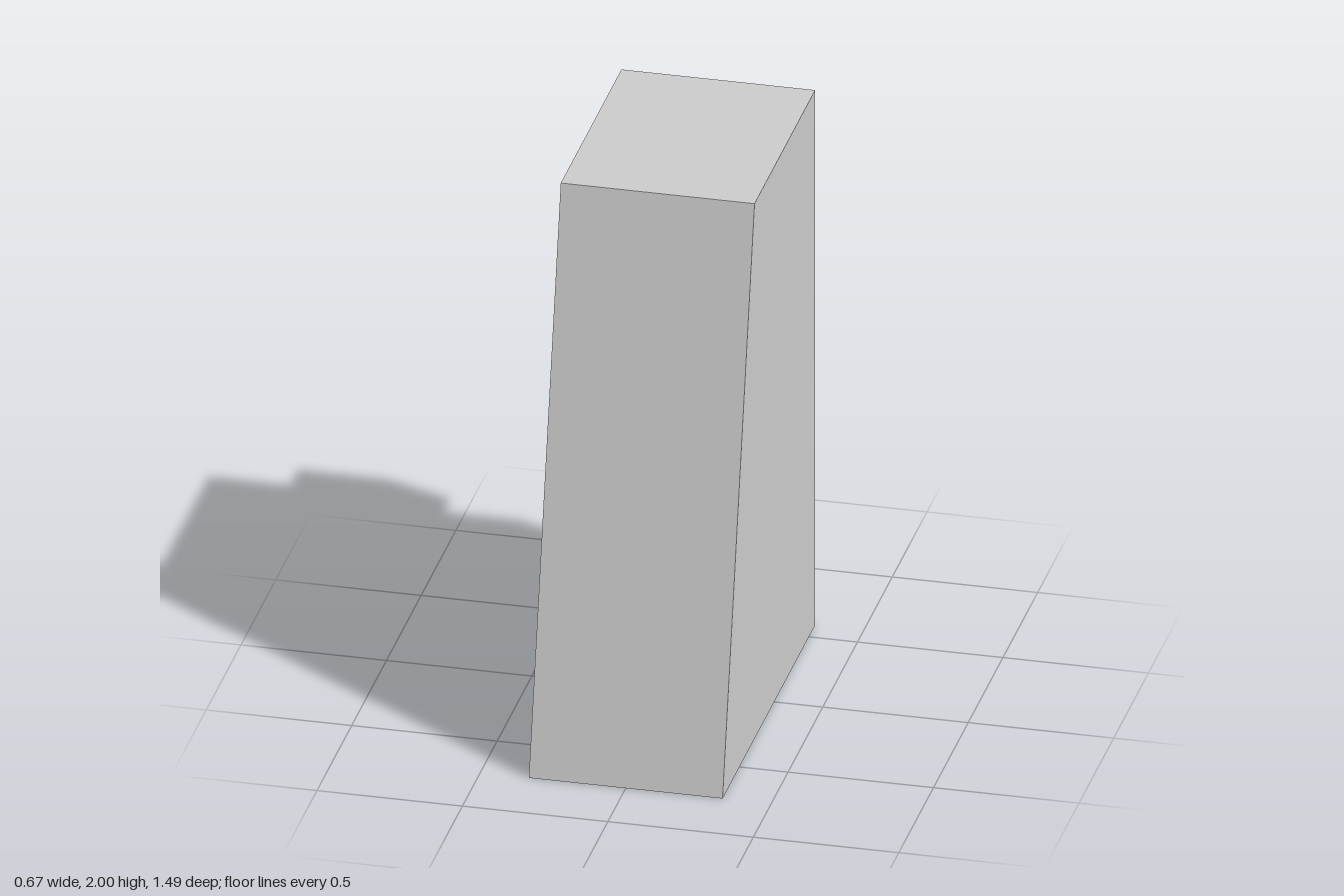
import * as THREE from 'three';

// Joins four-cornered rings into a flat-faced skin and caps the last ring.
function loft(rings) {
  const pos = [];
  const quad = (a, b, c, d) => pos.push(...a, ...b, ...c, ...a, ...c, ...d);
  for (let r = 0; r < rings.length - 1; r++) {
    const p = rings[r], q = rings[r + 1];
    for (let i = 0; i < 4; i++) {
      const j = (i + 1) % 4;
      quad(p[i], q[i], q[j], p[j]);
    }
  }
  const [a, b, c, d] = rings[rings.length - 1];
  quad(d, c, b, a);
  const geometry = new THREE.BufferGeometry();
  geometry.setAttribute('position', new THREE.Float32BufferAttribute(pos, 3));
  geometry.computeVertexNormals();
  return geometry;
}

// Horizontal ring at height y
const level = (y, hw, back, front) =>
  [[-hw, y, back], [hw, y, back], [hw, y, front], [-hw, y, front]];

// Upright ring at depth z
const frame = (z, hw, hh) => [[-hw, -hh, z], [hw, -hh, z], [hw, hh, z], [-hw, hh, z]];

export function createModel() {
  const group = new THREE.Group();
  const material = new THREE.MeshStandardMaterial({
    color: 0xcccccc, flatShading: true, side: THREE.DoubleSide,
  });

  // Hollow wedge shell, open underneath, with a sloping front
  const shell = new THREE.Mesh(
    loft([level(0, 0.333, -0.59, 0.743), level(2, 0.333, -0.59, 0.283)]), material);
  shell.name = 'wedgeShell';
  group.add(shell);

  // Square lugs on the back: side walls, slightly raised rim, recessed pocket
  const lugGeometry = loft([
    frame(0, 0.153, 0.153),
    frame(-0.148, 0.153, 0.153),
    frame(-0.153, 0.077, 0.112),
    frame(-0.078, 0.077, 0.112),
  ]);
  [0.378, 1.112, 1.752].forEach((y, i) => {
    const lug = new THREE.Mesh(lugGeometry, material);
    lug.name = `backLug${i + 1}`;
    lug.position.set(0.024, y, -0.59);
    group.add(lug);
  });

  return group;
}
